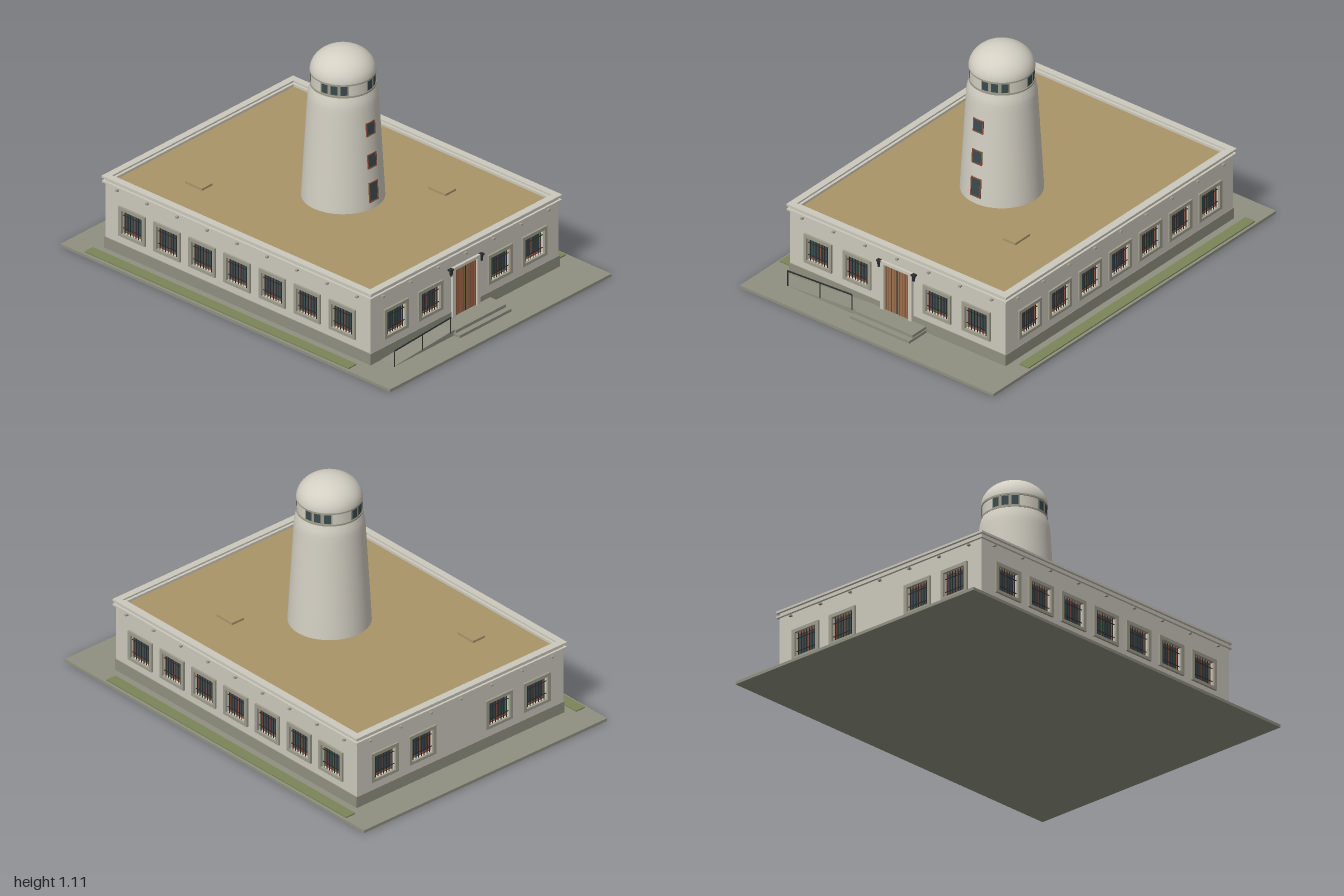
import * as THREE from 'three';

const mat = (name, color, side = THREE.FrontSide) => {
  const m = new THREE.MeshStandardMaterial({ color, side });
  m.name = name;
  return m;
};

export function createModel() {
  const M = {
    wall: mat('plaster', 0xcbc8bc),
    tower: mat('towerPlaster', 0xd3cfc3),
    trim: mat('stoneTrim', 0x9f9d8c),
    paving: mat('paving', 0x8f9080),
    roof: mat('roofTan', 0xa99468),
    grass: mat('grass', 0x7c8459),
    wood: mat('doorWood', 0x96704a),
    glass: mat('glass', 0x3a4a4e, THREE.DoubleSide),
    rust: mat('rustFrame', 0x8c5038),
    iron: mat('blackIron', 0x2b2d2f),
  };
  const root = new THREE.Group();
  root.name = 'towerBuilding';

  const add = (parent, name, geo, m, x = 0, y = 0, z = 0) => {
    const mesh = new THREE.Mesh(geo, m);
    mesh.name = name;
    mesh.position.set(x, y, z);
    parent.add(mesh);
    return mesh;
  };
  // box given by its min and max on each axis
  const box = (parent, name, m, x0, x1, y0, y1, z0, z1) =>
    add(parent, name, new THREE.BoxGeometry(x1 - x0, y1 - y0, z1 - z0), m,
      (x0 + x1) / 2, (y0 + y1) / 2, (z0 + z1) / 2);
  const rect = (P, x0, x1, y0, y1) => {
    const p = new P();
    p.moveTo(x0, y0).lineTo(x1, y0).lineTo(x1, y1).lineTo(x0, y1).closePath();
    return p;
  };
  // rectangular plate with rectangular holes, extruded along z
  const holed = (outer, holes, depth) => {
    const s = rect(THREE.Shape, ...outer);
    holes.forEach(h => s.holes.push(rect(THREE.Path, ...h)));
    return new THREE.ExtrudeGeometry(s, { depth, bevelEnabled: false });
  };

  // ---- ground slab and planting strips
  box(root, 'groundSlab', M.paving, -0.73, 0.73, 0, 0.014, -1, 1);
  for (const s of [-1, 1])
    box(root, 'plantingStrip', M.grass, s * 0.69 - 0.027, s * 0.69 + 0.027, 0.01, 0.02, -0.867, 0.735);

  // ---- barred window, outer wall face at z = 0
  const W = 0.063, Y0 = 0.125, Y1 = 0.243;
  const makeWindow = (parent, x) => {
    const g = new THREE.Group();
    g.name = 'barredWindow';
    g.position.x = x;
    parent.add(g);
    add(g, 'windowSurround', holed([-0.08, 0.08, 0.111, 0.26], [[-W, W, Y0, Y1]], 0.012), M.trim, 0, 0, -0.002);
    add(g, 'windowPane', new THREE.PlaneGeometry(2 * W, Y1 - Y0), M.glass, 0, (Y0 + Y1) / 2, -0.02);
    add(g, 'windowFrame', holed([-W, W, Y0, Y1], [[-W + 0.006, -0.003, Y0 + 0.006, Y1 - 0.006],
      [0.003, W - 0.006, Y0 + 0.006, Y1 - 0.006]], 0.006), M.rust, 0, 0, -0.019);
    for (let i = -3; i <= 3; i++)
      box(g, 'windowBar', M.iron, i * 0.0165 - 0.0015, i * 0.0165 + 0.0015, Y0, Y1, -0.004, -0.001);
    for (const y of [0.152, 0.216])
      box(g, 'windowCrossbar', M.iron, -W, W, y - 0.0015, y + 0.0015, -0.005, -0.002);
  };

  // ---- four walls with window openings and roof drain spouts
  const ZC = -0.025, HX = 0.62, HZ = 0.805;
  const endXs = [-0.456, -0.23, 0.23, 0.456];
  const sideXs = [-3, -2, -1, 0, 1, 2, 3].map(i => i * 0.2125);
  const makeWall = (name, half, xs, spouts, px, pz, turn) => {
    const g = new THREE.Group();
    g.name = name;
    g.position.set(px, 0, pz);
    g.rotation.y = turn;
    root.add(g);
    add(g, 'wallPanel', holed([-half, half, 0.012, 0.372], xs.map(x => [x - W, x + W, Y0, Y1]), 0.035),
      M.wall, 0, 0, -0.035);
    xs.forEach(x => makeWindow(g, x));
    for (let i = -spouts; i <= spouts; i++)
      box(g, 'drainSpout', M.trim, i * 0.182 - 0.006, i * 0.182 + 0.006, 0.331, 0.339, -0.005, 0.014);
  };
  makeWall('frontWall', HX, endXs, 3, 0, ZC + HZ, 0);
  makeWall('backWall', HX, endXs, 3, 0, ZC - HZ, Math.PI);
  makeWall('leftWall', HZ, sideXs, 4, HX, ZC, Math.PI / 2);
  makeWall('rightWall', HZ, sideXs, 4, -HX, ZC, -Math.PI / 2);

  // ---- plinth, cornice and parapet as horizontal rings
  const ring = (name, m, out, inset, y0, y1) => {
    const a = HX + out, b = HZ + out, c = HX - inset, d = HZ - inset;
    const mesh = add(root, name, holed([-a, a, -b, b], [[-c, c, -d, d]], y1 - y0), m, 0, y0, ZC);
    mesh.rotation.x = -Math.PI / 2;
  };
  ring('plinth', M.paving, 0.004, 0.01, 0.012, 0.07);
  ring('cornice', M.wall, 0.011, 0.01, 0.347, 0.356);
  ring('parapetCap', M.wall, 0.012, 0.022, 0.37, 0.38);
  box(root, 'roofDeck', M.roof, -0.6, 0.6, 0.34, 0.36, ZC - 0.785, ZC + 0.785);
  for (const [x, z] of [[-0.37, -0.492], [0.328, 0.342]])
    box(root, 'roofHatch', M.roof, x - 0.035, x + 0.035, 0.355, 0.371, z - 0.052, z + 0.052);

  // ---- entrance: surround, planked double door, lamps
  const F = ZC + HZ;
  add(root, 'doorSurround', holed([-0.09, 0.09, 0.014, 0.294], [[-0.07, 0.07, 0.03, 0.28]], 0.014), M.wall, 0, 0, F);
  box(root, 'doorLeaves', M.wood, -0.07, 0.07, 0.03, 0.28, F, F + 0.005);
  for (let i = -4; i <= 4; i++) {
    const w = i ? 0.0012 : 0.0018;
    box(root, 'doorJoint', i ? M.rust : M.iron, i * 0.0155 - w, i * 0.0155 + w, 0.045, 0.28, F + 0.004, F + 0.007);
  }
  for (const s of [-1, 1]) {
    box(root, 'lampBracket', M.iron, s * 0.1 - 0.011, s * 0.1 + 0.011, 0.286, 0.294, F, F + 0.018);
    add(root, 'lampBody', new THREE.CylinderGeometry(0.009, 0.006, 0.03, 8), M.iron, s * 0.1, 0.275, F + 0.011);
  }

  // ---- steps and ramp
  box(root, 'upperStep', M.paving, -0.165, 0.165, 0.01, 0.043, F, 0.88);
  box(root, 'lowerStep', M.paving, -0.17, 0.17, 0.01, 0.028, F, 0.908);
  const ramp = new THREE.Shape([[-0.56, 0.01], [-0.165, 0.01], [-0.165, 0.042], [-0.56, 0.015]]
    .map(p => new THREE.Vector2(...p)));
  add(root, 'ramp', new THREE.ExtrudeGeometry(ramp, { depth: 0.09, bevelEnabled: false }), M.paving, 0, 0, F);

  // ---- handrail along the ramp
  const rod = (name, a, b, r) => add(root, name,
    new THREE.TubeGeometry(new THREE.LineCurve3(new THREE.Vector3(...a), new THREE.Vector3(...b)), 1, r, 6), M.iron);
  const railZ = 0.87;
  rod('handrail', [-0.562, 0.093, railZ], [-0.187, 0.113, railZ], 0.0035);
  for (const [x, y0, y1] of [[-0.56, 0.014, 0.093], [-0.375, 0.024, 0.103], [-0.19, 0.035, 0.113]])
    rod('handrailPost', [x, y0, railZ], [x, y1, railZ], 0.0028);

  // ---- round tower
  const tower = new THREE.Group();
  tower.name = 'tower';
  tower.position.z = 0.043;
  root.add(tower);
  const lathe = (name, pts, m) =>
    add(tower, name, new THREE.LatheGeometry(pts.map(p => new THREE.Vector2(...p)), 64), m);
  lathe('towerShaft', [[0.189, 0.35], [0.188, 0.38], [0.179, 0.54], [0.17, 0.7], [0.162, 0.84],
    [0.16, 0.872], [0.157, 0.893], [0.152, 0.912], [0.147, 0.93]], M.tower);
  const disc = (name, m, r, y0, y1) =>
    add(tower, name, new THREE.CylinderGeometry(r, r, y1 - y0, 64), m, 0, (y0 + y1) / 2, 0);
  disc('lanternDrum', M.tower, 0.145, 0.925, 0.995);
  disc('lanternLowerRing', M.trim, 0.149, 0.928, 0.936);
  disc('lanternUpperRing', M.trim, 0.149, 0.988, 0.996);
  const dome = add(tower, 'dome', new THREE.SphereGeometry(0.15, 64, 24, 0, Math.PI * 2, 0, Math.PI / 2),
    M.tower, 0, 0.996, 0);
  dome.scale.y = 0.113 / 0.15;

  // lantern panes: four groups of three
  const deg = Math.PI / 180;
  const arc = (name, m, r, y0, y1, from, span) =>
    add(tower, name, new THREE.CylinderGeometry(r, r, y1 - y0, 10, 1, true, from * deg, span * deg), m, 0, (y0 + y1) / 2, 0);
  for (let q = 0; q < 4; q++) {
    arc('lanternWindowBand', M.trim, 0.146, 0.936, 0.988, q * 90 - 1, 54);
    for (let i = 0; i < 3; i++)
      arc('lanternPane', M.glass, 0.1472, 0.941, 0.985, q * 90 + i * 18 + 2, 12.5);
  }

  // tower front windows, tilted to follow the taper
  for (const [y0, y1] of [[0.395, 0.492], [0.562, 0.633], [0.723, 0.79]]) {
    const g = new THREE.Group(), h = (y1 - y0) / 2, y = (y0 + y1) / 2;
    g.name = 'towerWindow';
    g.position.set(0, y, 0.188 - (y - 0.38) * 0.0565);
    g.rotation.x = -0.056;
    tower.add(g);
    add(g, 'towerWindowFrame', holed([-0.029, 0.029, -h, h], [[-0.024, 0.024, -h + 0.005, h - 0.005]], 0.007),
      M.rust, 0, 0, -0.004);
    add(g, 'towerWindowPane', new THREE.PlaneGeometry(0.05, 2 * h - 0.008), M.glass, 0, 0, 0.001);
  }
  return root;
}
